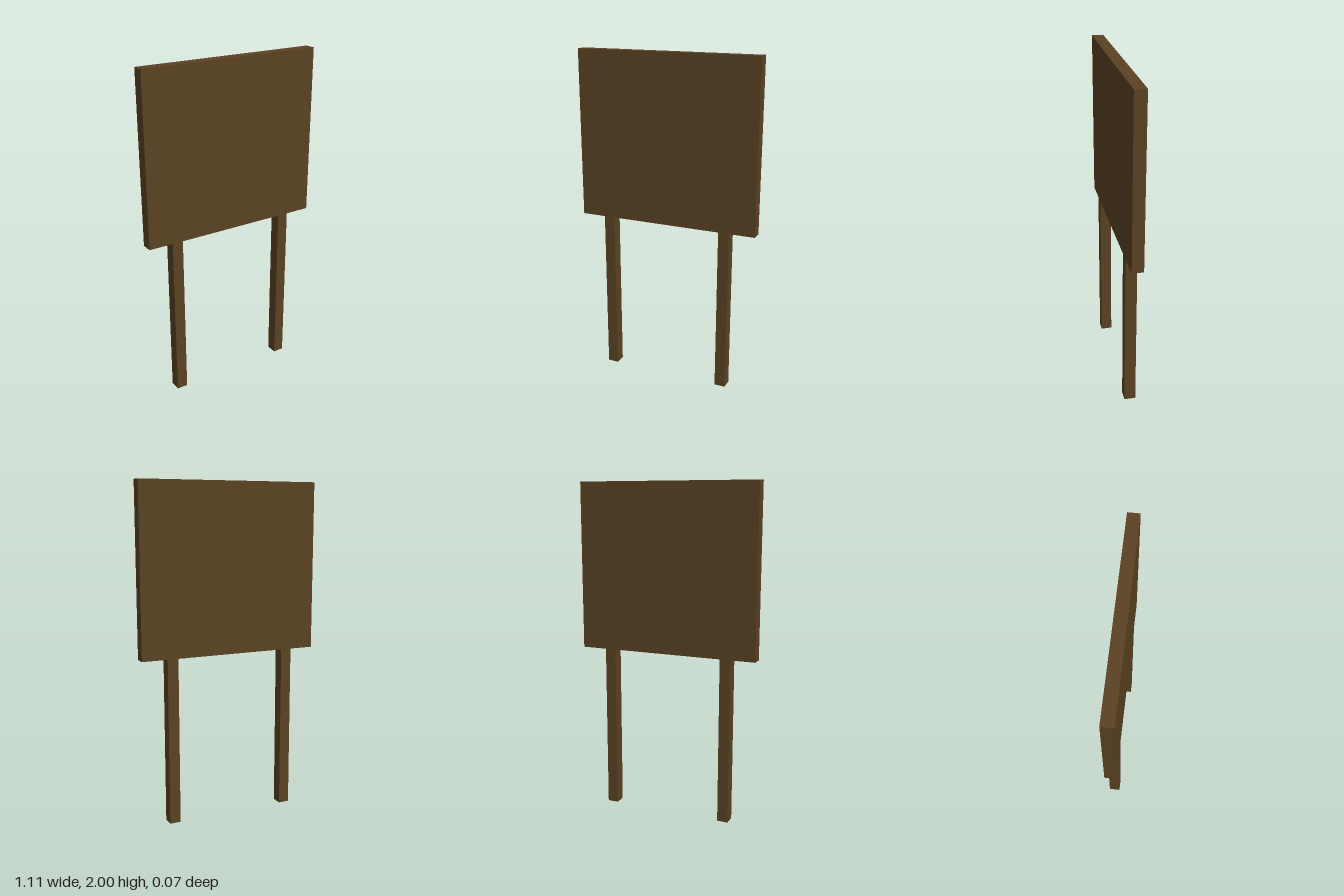
import * as THREE from 'three';

export function createModel() {
  const model = new THREE.Group();
  model.name = 'signboard';
  const wood = new THREE.MeshStandardMaterial({ color: 0x5a4222 });
  wood.name = 'dark wood';

  const depth = 0.068;
  const addBox = (name, width, bottom, top, x) => {
    const mesh = new THREE.Mesh(new THREE.BoxGeometry(width, top - bottom, depth), wood);
    mesh.name = name;
    mesh.position.set(x, (bottom + top) / 2, 0);
    model.add(mesh);
  };

  // Panel
  addBox('board', 1.11, 0.997, 2, 0);

  // Posts, set very slightly off centre
  addBox('leftPost', 0.066, 0, 0.997, 0.368);
  addBox('rightPost', 0.066, 0, 0.997, -0.375);

  return model;
}
